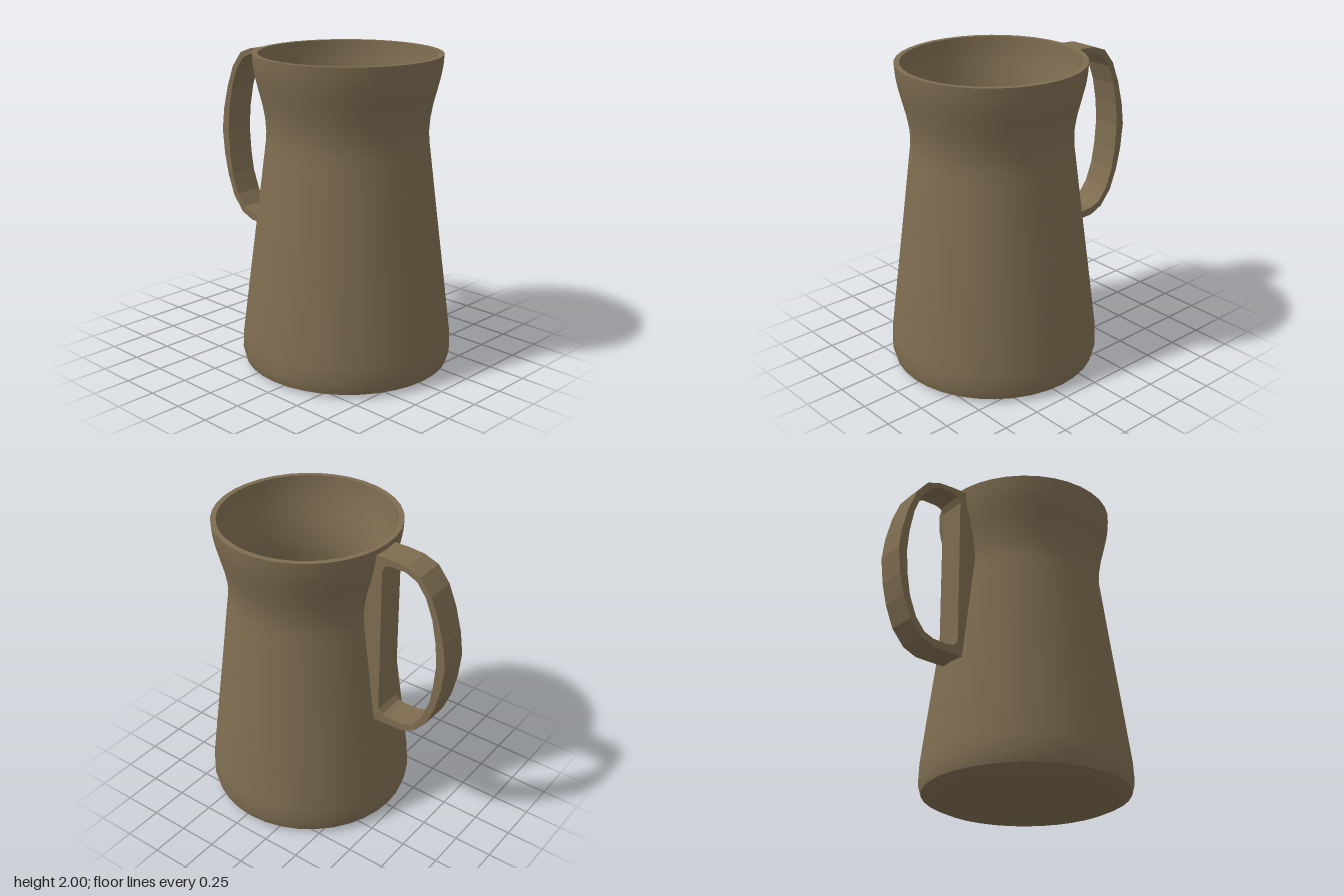
import * as THREE from 'three';

const SIDES = 36;
const WALL = 0.034;
const BODY_Z = 0.2;

// Outer wall [radius, height], bottom to top
const OUTER = [
  [0.605, 0], [0.658, 0.025], [0.675, 0.09], [0.67, 0.2], [0.618, 0.61], [0.566, 1.01],
  [0.517, 1.4], [0.509, 1.46], [0.506, 1.52], [0.512, 1.6], [0.526, 1.68],
  [0.549, 1.77], [0.571, 1.86], [0.583, 1.93], [0.588, 2],
];

// Handle outlines as [distance behind centre, height]
const GRIP = [
  [0.38, 0.775], [0.595, 0.78], [0.69, 0.82], [0.775, 0.92], [0.83, 1.06], [0.862, 1.2],
  [0.88, 1.37], [0.86, 1.52], [0.817, 1.68], [0.76, 1.82], [0.68, 1.92], [0.585, 1.955], [0.48, 1.963], [0.376, 1.963],
];
const OPENING = [
  [0.42, 0.93], [0.425, 0.87], [0.45, 0.838], [0.5, 0.828], [0.6, 0.832], [0.67, 0.86], [0.735, 0.94],
  [0.785, 1.07], [0.807, 1.2], [0.82, 1.37], [0.806, 1.52], [0.775, 1.67], [0.725, 1.8],
  [0.66, 1.885], [0.58, 1.92], [0.48, 1.922], [0.44, 1.91], [0.42, 1.87],
];

const vectors = (points) => points.map(([a, b]) => new THREE.Vector2(a, b));

export function createModel() {
  const group = new THREE.Group();
  const clay = new THREE.MeshStandardMaterial({ color: 0x7d6c50 });

  const add = (parent, name, geometry) => {
    const mesh = new THREE.Mesh(geometry, clay);
    mesh.name = name;
    parent.add(mesh);
  };

  // Hollow body, split where its edges are sharp
  const body = new THREE.Group();
  body.name = 'jugBody';
  body.position.z = BODY_Z;
  group.add(body);
  const turned = (name, points) => add(body, name, new THREE.LatheGeometry(vectors(points), SIDES));
  const inner = OUTER.slice(2).map(([r, y]) => [r - WALL, y]).reverse();
  const rim = OUTER[OUTER.length - 1];
  const foot = inner[inner.length - 1];
  turned('base', [[0, 0], OUTER[0]]);
  turned('footBevel', OUTER.slice(0, 2));
  turned('outerWall', OUTER.slice(1));
  turned('rim', [rim, inner[0]]);
  turned('innerWall', inner);
  turned('innerFloor', [foot, [0, foot[1]]]);

  // Handle loop whose back plate follows the body and sinks into its wall
  const seat = OUTER.filter(([, y]) => y > 0.8 && y < 1.95)
    .reverse()
    .map(([r, y]) => [r - BODY_Z - 0.02, y]);
  const shape = new THREE.Shape(vectors([...GRIP, ...seat]));
  shape.holes.push(new THREE.Path(vectors(OPENING)));
  const handle = new THREE.ExtrudeGeometry(shape, { depth: 0.194, bevelEnabled: false });
  handle.translate(0, 0, -0.097).rotateY(Math.PI / 2);
  add(group, 'handle', handle);

  return group;
}
